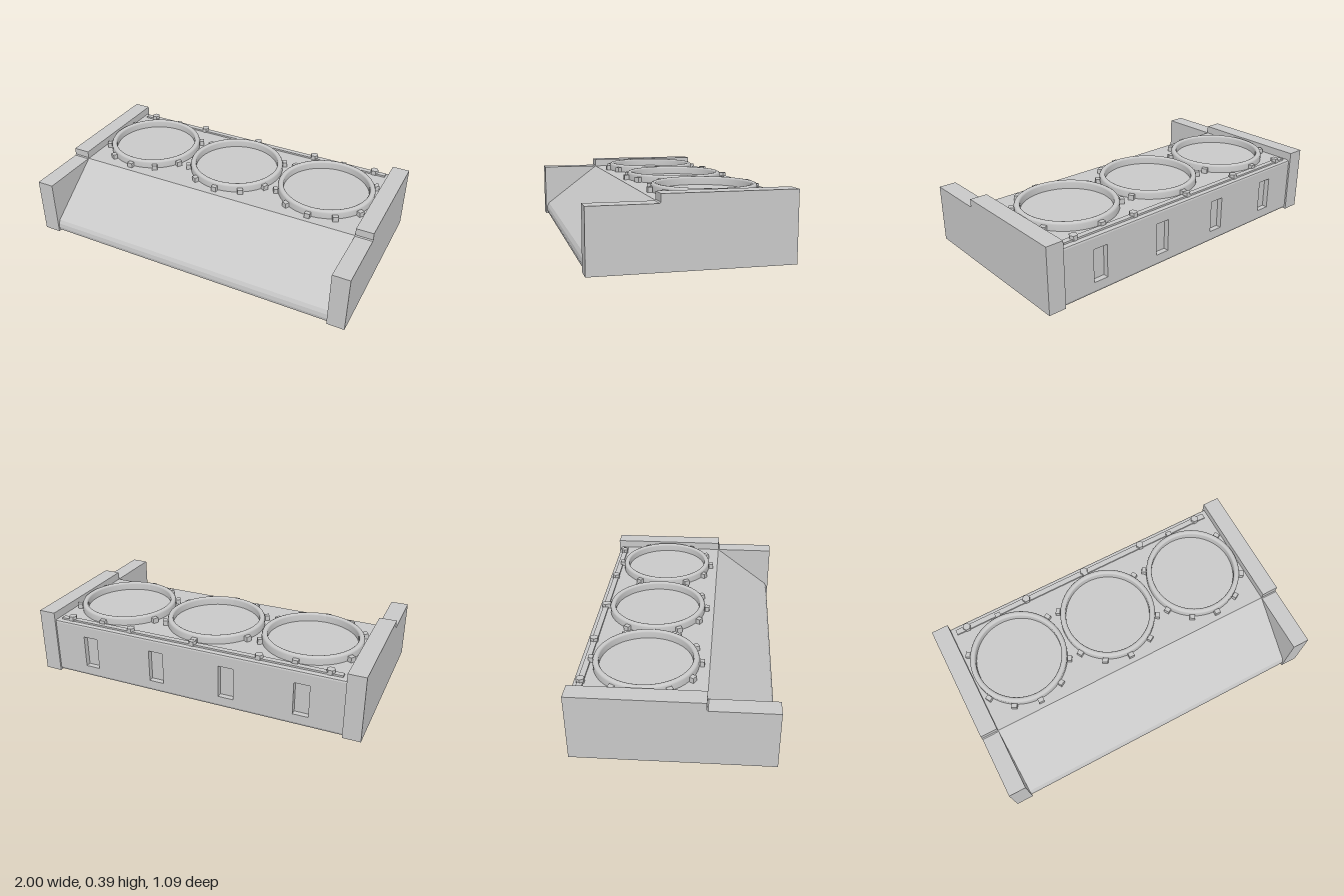
import * as THREE from 'three';

const grey = new THREE.MeshStandardMaterial({ color: 0xc8c8c8 });
grey.name = 'plain grey';

const DECK = 0.342, RING_Z = -0.172;

function add(parent, name, geometry, x = 0, y = 0, z = 0) {
  const mesh = new THREE.Mesh(geometry, grey);
  mesh.name = name;
  mesh.position.set(x, y, z);
  parent.add(mesh);
  return mesh;
}

// Extrudes a side profile of [z, y] points along x, centred on x = 0.
function sideProfile(points, width) {
  const shape = new THREE.Shape(points.map(([z, y]) => new THREE.Vector2(-z, y)));
  return new THREE.ExtrudeGeometry(shape, { depth: width, bevelEnabled: false })
    .rotateY(Math.PI / 2).translate(-width / 2, 0, 0);
}

// Raised rim with rounded shoulders.
function rimGeometry() {
  const profile = [
    [0.257, 0], [0.257, 0.036], [0.261, 0.044], [0.268, 0.047],
    [0.277, 0.047], [0.285, 0.043], [0.29, 0.034], [0.29, 0],
  ].map(([r, y]) => new THREE.Vector2(r, y));
  return new THREE.LatheGeometry(profile.reverse(), 64);
}

function createRing(x) {
  const ring = new THREE.Group();
  ring.name = 'portRing';
  ring.position.set(x, DECK, RING_Z);
  const rim = add(ring, 'rim', rimGeometry());
  // Lathe profiles face outward when drawn from bottom to top on the outside.
  rim.geometry.computeVertexNormals();
  // Clamping lugs, left out where neighbours are too close.
  for (const degrees of [0, 60, 120, 150, 180, 210, 240, 300]) {
    const a = THREE.MathUtils.degToRad(degrees);
    const lug = add(ring, 'lug', new THREE.BoxGeometry(0.033, 0.03, 0.026),
      Math.sin(a) * 0.305, 0.015, -Math.cos(a) * 0.305);
    lug.rotation.y = -a;
  }
  return ring;
}

export function createModel() {
  const model = new THREE.Group();
  model.name = 'ventHousing';

  // Wedge body with sloped front and small front lip
  add(model, 'body', sideProfile([
    [-0.505, 0], [0.525, 0], [0.536, 0.01], [0.54, 0.03], [0.537, 0.055],
    [0.526, 0.077], [0.175, DECK], [-0.505, DECK],
  ], 1.8));

  // Back frame: two rails and the uprights between four recessed windows
  add(model, 'backLowerRail', sideProfile([
    [-0.505, 0], [-0.505, 0.07], [-0.537, 0.07], [-0.537, 0.02], [-0.53, 0.006], [-0.52, 0],
  ], 1.8));
  add(model, 'backUpperRail', sideProfile([
    [-0.505, 0.265], [-0.505, DECK], [-0.525, DECK], [-0.534, 0.337], [-0.537, 0.328], [-0.537, 0.265],
  ], 1.8));
  const windows = [-0.66, -0.22, 0.22, 0.66], half = 0.045;
  for (let i = 0; i <= windows.length; i++) {
    const x0 = i === 0 ? -0.9 : windows[i - 1] + half;
    const x1 = i === windows.length ? 0.9 : windows[i] - half;
    add(model, 'backUpright', new THREE.BoxGeometry(x1 - x0, 0.195, 0.032),
      (x0 + x1) / 2, 0.1675, -0.521);
  }

  // Stepped end panels
  for (const side of [-1, 1]) {
    add(model, side > 0 ? 'leftEndPanel' : 'rightEndPanel', sideProfile([
      [-0.547, 0], [0.547, 0], [0.547, 0.342], [0.182, 0.342],
      [0.176, 0.348], [0.176, 0.39], [-0.547, 0.39],
    ], 0.102), side * 0.949);
  }

  // Three round ports
  for (const x of [-0.6, 0, 0.6]) model.add(createRing(x));

  // Rear strip with hexagonal bolts
  add(model, 'boltStrip', new THREE.BoxGeometry(1.74, 0.012, 0.032), 0, DECK + 0.004, -0.495);
  for (const x of [-0.8, -0.4, 0, 0.4, 0.8]) {
    const geometry = new THREE.CylinderGeometry(0.024, 0.024, 0.028, 6).toNonIndexed();
    geometry.computeVertexNormals();
    geometry.rotateY(Math.PI / 6);
    add(model, 'hexBolt', geometry, x, DECK + 0.014, -0.495);
  }
  return model;
}
